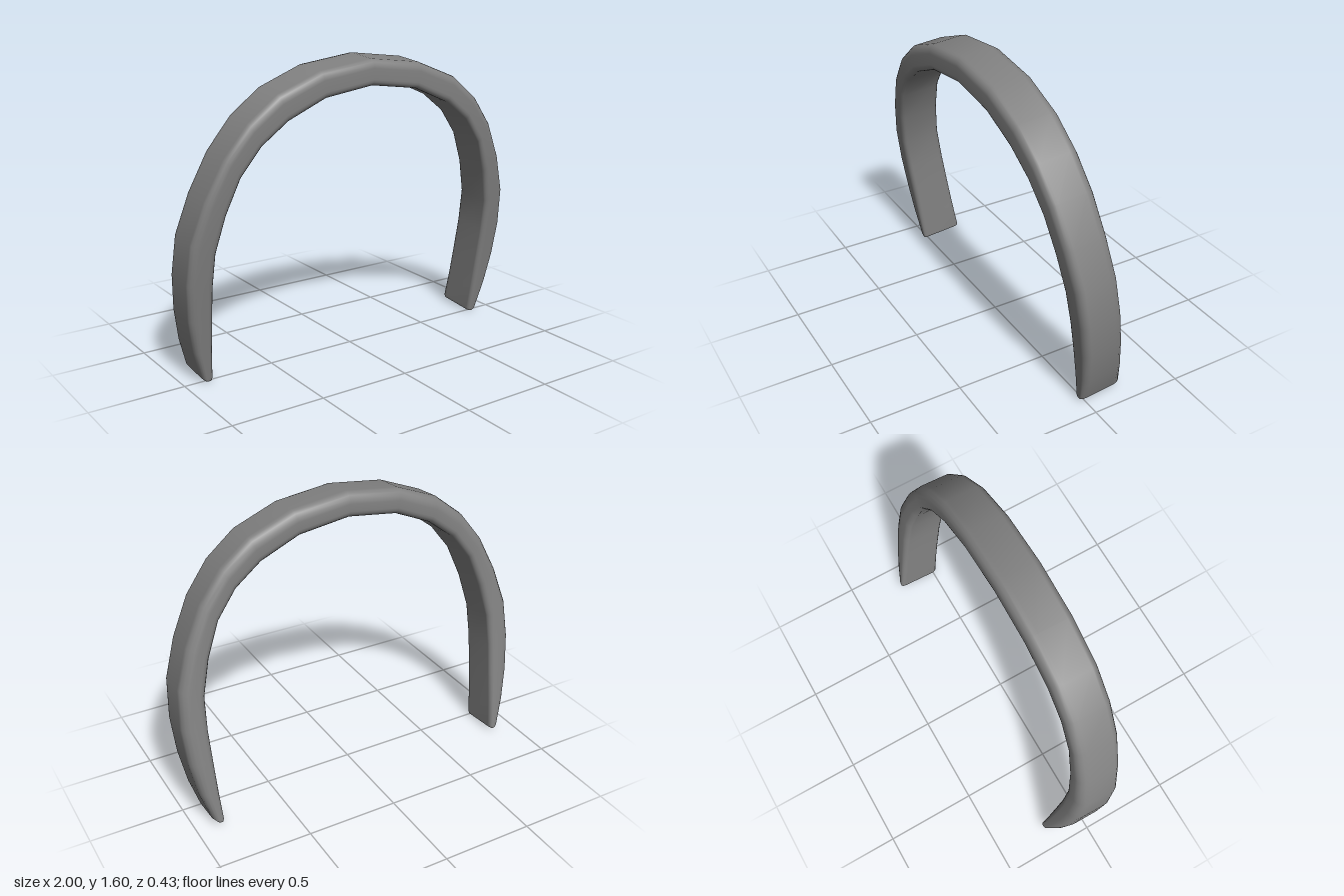
import * as THREE from 'three';

// Half of the band, tip to crown: outer x, y, inner x, y, centre z, half width
const HALF = [
  [0.890, 0.014, 0.852, 0.014, -0.100, 0.116],
  [0.903, 0.028, 0.848, 0.028, -0.098, 0.119],
  [0.952, 0.185, 0.855, 0.180, -0.074, 0.118],
  [0.986, 0.365, 0.860, 0.350, -0.047, 0.117],
  [1.000, 0.560, 0.865, 0.530, -0.018, 0.117],
  [0.985, 0.770, 0.858, 0.710, 0.012, 0.117],
  [0.918, 0.978, 0.811, 0.900, 0.040, 0.118],
  [0.822, 1.176, 0.740, 1.080, 0.064, 0.120],
  [0.698, 1.336, 0.633, 1.222, 0.080, 0.122],
  [0.540, 1.461, 0.490, 1.331, 0.089, 0.124],
  [0.302, 1.555, 0.278, 1.423, 0.092, 0.125],
  [0.000, 1.593, 0.000, 1.461, 0.092, 0.125],
];
// Corners of a section: outward side, forward side, radius as share of thickness, radius in z
const CORNERS = [
  [1, 1, 0.32, 0.035],
  [-1, 1, 0.25, 0.025],
  [-1, -1, 0.25, 0.03],
  [1, -1, 0.45, 0.055],
];
const TILT = -0.09; // rise of each section per unit of z
const STEPS = 4;    // segments per rounded corner

// Rounded rectangle placed across the band, counter-clockwise in (outward, forward)
function section([ox, oy, ix, iy, zc, hw]) {
  const dx = ox - ix, dy = oy - iy;
  const points = [];
  CORNERS.forEach(([su, sw, ru, rw], corner) => {
    for (let k = 0; k <= STEPS; k++) {
      const a = (corner + k / STEPS) * Math.PI / 2;
      const u = su * (0.5 - ru) + ru * Math.cos(a); // share of the thickness
      const w = sw * (hw - rw) + rw * Math.sin(a);
      points.push(new THREE.Vector3(
        (ox + ix) / 2 + u * dx,
        (oy + iy) / 2 + u * dy + w * TILT,
        zc + w));
    }
  });
  return points;
}

function makeGeometry(points, index) {
  const geometry = new THREE.BufferGeometry().setFromPoints(points);
  geometry.setIndex(index);
  geometry.computeVertexNormals();
  return geometry;
}

// Skin joining all sections
function skin(rings) {
  const n = rings[0].length, index = [];
  for (let i = 0; i < rings.length - 1; i++) {
    for (let j = 0; j < n; j++) {
      const a = i * n + j, b = i * n + (j + 1) % n;
      index.push(a, a + n, b, b, a + n, b + n);
    }
  }
  return makeGeometry(rings.flat(), index);
}

// Flat end face
function cap(ring, flip) {
  const index = [];
  for (let j = 1; j < ring.length - 1; j++) {
    index.push(0, flip ? j + 1 : j, flip ? j : j + 1);
  }
  return makeGeometry(ring, index);
}

export function createModel() {
  const group = new THREE.Group();
  group.name = 'headband';
  const material = new THREE.MeshStandardMaterial({ color: 0x818181 });
  const add = (name, geometry) => {
    const mesh = new THREE.Mesh(geometry, material);
    mesh.name = name;
    group.add(mesh);
  };

  // Mirror the half profile over the crown
  const mirrored = HALF.slice(0, -1).reverse()
    .map(([ox, oy, ix, iy, z, w]) => [-ox, oy, -ix, iy, z, w]);
  const rings = [...HALF, ...mirrored].map(section);

  add('band', skin(rings));
  add('leftTip', cap(rings[0], false));
  add('rightTip', cap(rings[rings.length - 1], true));
  return group;
}
